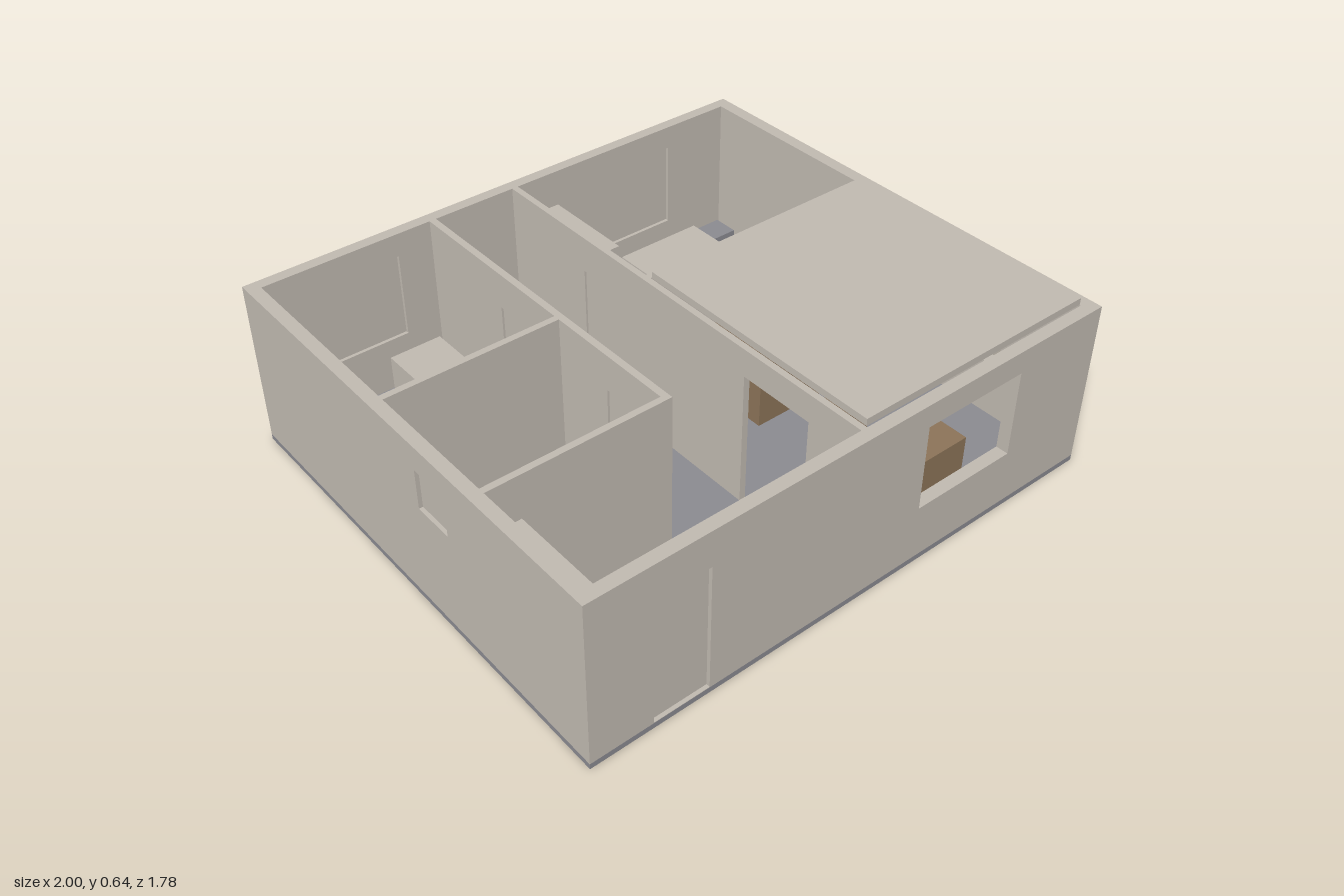
import * as THREE from 'three';

export function createModel() {
  const root = new THREE.Group();
  root.name = 'openRoofHouse';
  const mat = (name, color) => {
    const m = new THREE.MeshStandardMaterial({ color });
    m.name = name;
    return m;
  };
  const plaster = mat('plaster', 0xc0b9b0);
  const slate = mat('slate', 0x8a8a90);
  const wood = mat('wood', 0x8b7358);

  const FLOOR = 0.02, TOP = 0.62;

  // Box given by its limits on each axis
  function box(name, m, x0, x1, y0, y1, z0, z1) {
    const mesh = new THREE.Mesh(new THREE.BoxGeometry(x1 - x0, y1 - y0, z1 - z0), m);
    mesh.position.set((x0 + x1) / 2, (y0 + y1) / 2, (z0 + z1) / 2);
    mesh.name = name;
    root.add(mesh);
  }

  // Wall along x or z from a to b, filling c0..c1 across.
  // Each opening is [start, end, bottom, top, filled]; filled ones get an inset panel.
  function wall(name, axis, a, b, c0, c1, openings = []) {
    const rect = (path, u0, u1, v0, v1) => {
      path.moveTo(u0, v0);
      path.lineTo(u1, v0);
      path.lineTo(u1, v1);
      path.lineTo(u0, v1);
      path.closePath();
      return path;
    };
    // Along z the outline runs backwards so that the rotated wall keeps its outside out
    const s = axis === 'x' ? 1 : -1;
    const span = (p, q) => (s > 0 ? [p, q] : [-q, -p]);
    const shape = rect(new THREE.Shape(), ...span(a, b), FLOOR, TOP);
    const inset = Math.min(0.015, (c1 - c0) * 0.3);
    for (const [p, q, y0, y1, filled] of openings) {
      shape.holes.push(rect(new THREE.Path(), ...span(p, q), y0, y1));
      if (!filled) continue;
      if (axis === 'x') box(name + 'Panel', plaster, p, q, y0, y1, c0 + inset, c1 - inset);
      else box(name + 'Panel', plaster, c0 + inset, c1 - inset, y0, y1, p, q);
    }
    const geo = new THREE.ExtrudeGeometry(shape, { depth: c1 - c0, bevelEnabled: false });
    const mesh = new THREE.Mesh(geo, plaster);
    if (axis === 'x') mesh.position.z = c0;
    else {
      mesh.rotation.y = Math.PI / 2;
      mesh.position.x = c0;
    }
    mesh.name = name;
    root.add(mesh);
  }

  // Floor slab and the single flat roof panel
  box('floorSlab', slate, -1, 1, 0, FLOOR, -0.89, 0.89);
  box('roofPanel', plaster, 0.025, 0.955, TOP, 0.645, -0.11, 0.84);

  // Outer walls
  wall('frontWall', 'x', -1, 1, 0.845, 0.89, [
    [-0.78, -0.58, 0.022, 0.49, true],
    [0.24, 0.64, 0.22, 0.535, false],
  ]);
  wall('backWall', 'x', -1, 1, -0.89, -0.848, [
    [0.245, 0.695, 0.22, 0.535, true],
    [-0.83, -0.465, 0.22, 0.535, true],
  ]);
  wall('leftWall', 'z', -0.848, 0.845, 0.953, 1, [[0.18, 0.58, 0.22, 0.535, false]]);
  wall('rightWall', 'z', -0.848, 0.845, -1, -0.955, [[0.106, 0.255, 0.385, 0.53, true]]);

  // Inner walls
  wall('hallWall', 'z', -0.848, 0.397, -0.335, -0.31, [
    [-0.44, -0.27, 0.022, 0.49, true],
    [0.12, 0.28, 0.022, 0.49, true],
  ]);
  wall('middleWall', 'z', -0.848, 0.845, 0, 0.023, [
    [-0.44, -0.27, 0.022, 0.49, true],
    [0.36, 0.64, 0.022, 0.52, false],
  ]);
  wall('bedroomWall', 'x', 0.023, 0.953, -0.14, -0.115);
  wall('studyWall', 'x', -0.955, -0.335, -0.14, -0.117);
  wall('bathWall', 'x', -0.955, -0.335, 0.374, 0.397);

  // Furniture: name, material, x range, z range, height
  const furniture = [
    ['studyShelf', plaster, -0.955, -0.89, -0.8, -0.585, 0.4],
    ['singleBed', plaster, -0.545, -0.345, -0.848, -0.45, 0.15],
    ['stool', plaster, -0.72, -0.625, -0.39, -0.295, 0.14],
    ['studyDesk', slate, -0.8, -0.54, -0.272, -0.14, 0.22],
    ['washbasin', plaster, -0.945, -0.86, -0.1, 0.025, 0.22],
    ['bathCabinet', plaster, -0.955, -0.83, 0.27, 0.374, 0.2],
    ['showerTray', slate, -0.545, -0.345, -0.105, 0.095, 0.05],
    ['hallCabinet', slate, -0.31, -0.235, -0.23, 0.08, 0.44],
    ['entryCabinet', plaster, -0.955, -0.87, 0.44, 0.795, 0.51],
    ['entryBench', slate, -0.565, -0.39, 0.765, 0.845, 0.15],
    ['wardrobe', plaster, 0.023, 0.155, -0.8, -0.45, 0.52],
    ['doubleBed', plaster, 0.465, 0.82, -0.842, -0.41, 0.15],
    ['dresser', slate, 0.375, 0.64, -0.24, -0.14, 0.22],
    ['nightstand', slate, 0.34, 0.45, -0.84, -0.74, 0.13],
    ['nightstand', slate, 0.83, 0.94, -0.84, -0.74, 0.13],
    ['kitchenCounter', wood, 0.3, 0.75, -0.115, 0.12, 0.35],
    ['diningChair', wood, 0.42, 0.53, 0.3, 0.4, 0.228],
    ['lowTable', wood, 0.36, 0.62, 0.58, 0.74, 0.2],
  ];
  for (const [name, m, x0, x1, z0, z1, h] of furniture) box(name, m, x0, x1, FLOOR, h, z0, z1);

  // Hanging kitchen cupboards with a narrow gap between their doors
  for (const [x0, x1] of [[0.3, 0.472], [0.476, 0.75]]) {
    box('hangingCupboard', wood, x0, x1, 0.37, 0.535, -0.115, 0.02);
  }

  return root;
}
